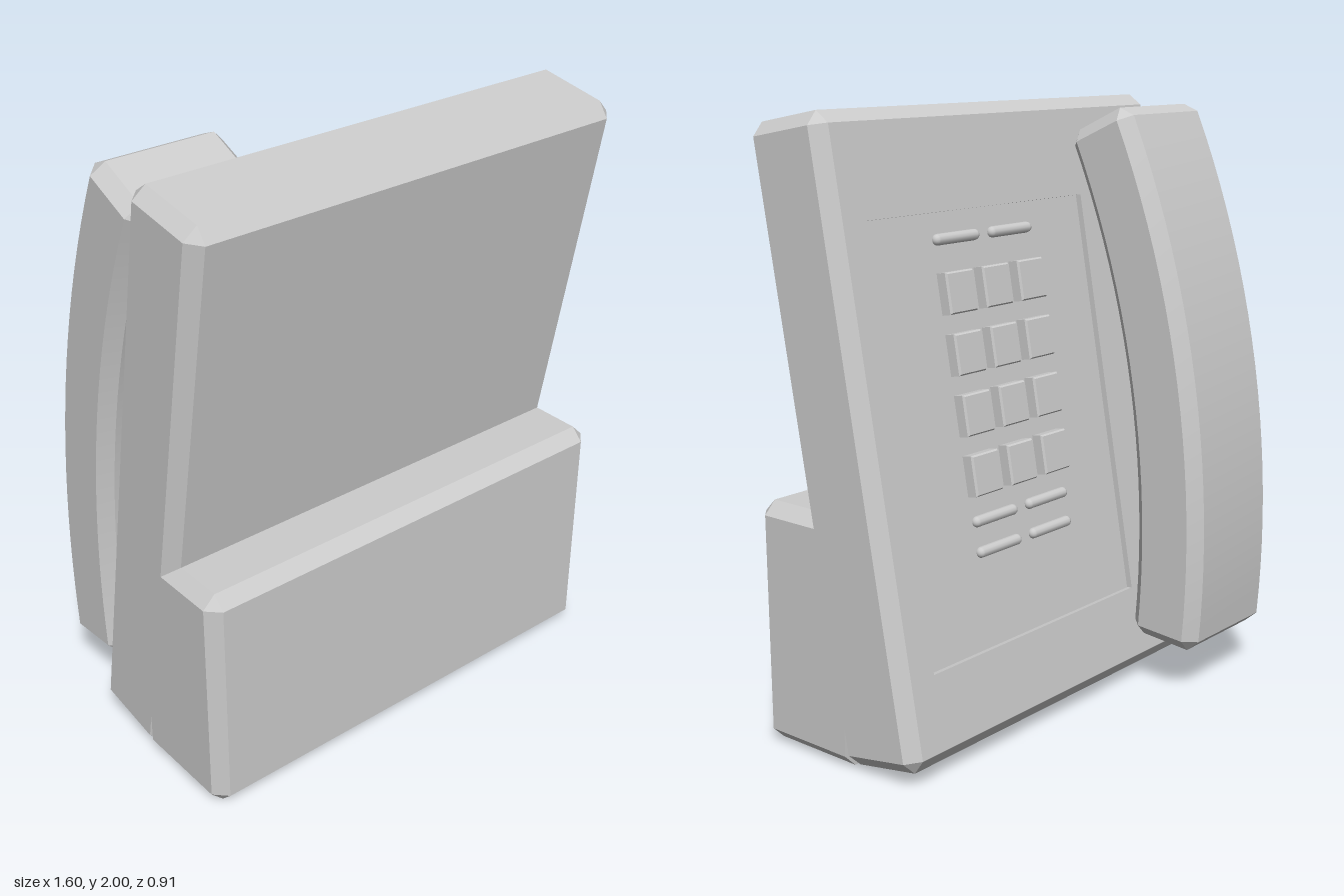
import * as THREE from 'three';
import { toCreasedNormals } from 'three/addons/utils/BufferGeometryUtils.js';

const material = new THREE.MeshStandardMaterial({ color: 0xcccccc });
const rad = THREE.MathUtils.degToRad;

// Rectangle with cut corners in the xy plane, at depth t: eight points, anticlockwise
function ring(t, x0, x1, y0, y1, c = 0) {
  return [
    [x1, y0 + c], [x1, y1 - c], [x1 - c, y1], [x0 + c, y1],
    [x0, y1 - c], [x0, y0 + c], [x0 + c, y0], [x1 - c, y0],
  ].map(([x, y]) => [x, y, t]);
}

// Same rectangle pulled in by c on every side
const inset = (t, x0, x1, y0, y1, c) => ring(t, x0 + c, x1 - c, y0 + c, y1 - c);

// Skin through successive rings, capped at both ends; place() maps ring space to model space
function loft(name, rings, place = (x, y, t) => [x, y, t]) {
  const pos = [];
  const tri = (...corners) => {
    const [a, b, c] = corners.map((p) => new THREE.Vector3(...place(...p)));
    const area = b.clone().sub(a).cross(c.clone().sub(a)).length();
    if (area > 1e-8) for (const v of [a, b, c]) pos.push(v.x, v.y, v.z);
  };
  for (let i = 0; i < rings.length - 1; i++) {
    for (let j = 0; j < 8; j++) {
      const k = (j + 1) % 8;
      const [a, b, c, d] = [rings[i][j], rings[i][k], rings[i + 1][k], rings[i + 1][j]];
      tri(a, b, c);
      tri(a, c, d);
    }
  }
  const first = rings[0], last = rings[rings.length - 1];
  for (let j = 1; j < 7; j++) {
    tri(first[0], first[j + 1], first[j]);
    tri(last[0], last[j], last[j + 1]);
  }
  const geometry = new THREE.BufferGeometry();
  geometry.setAttribute('position', new THREE.Float32BufferAttribute(pos, 3));
  const mesh = new THREE.Mesh(toCreasedNormals(geometry, rad(20)), material);
  mesh.name = name;
  return mesh;
}

export function createModel() {
  const model = new THREE.Group();
  model.name = 'deskPhone';
  const c = 0.042;

  // Front foot block, its open end buried in the leaning body
  const foot = [-0.8, 0.8, 0, 0.797];
  model.add(loft('footBlock', [
    ring(0.09, ...foot, c), ring(0.46 - c, ...foot, c), inset(0.46, ...foot, c),
  ]));

  // Leaning body: local z points out of the keypad side, local y runs up the slope
  const body = new THREE.Group();
  body.name = 'leaningBody';
  body.rotation.set(rad(10), Math.PI, 0);
  model.add(body);

  const slab = [-0.8, 0.8, 0.02, 2.0];
  const recess = [-0.66, 0.35, 0.3, 1.67];
  const face = 0.214, floor = 0.194;
  body.add(loft('bodySlab', [
    inset(-0.106, ...slab, c),
    ring(-0.106 + c, ...slab, c),
    ring(face - c, ...slab, c),
    inset(face, ...slab, c),
    ring(face, ...recess), // lip of the keypad recess
    ring(floor, ...recess),
  ]));

  // Keypad: four rows of three square keys
  const keypad = new THREE.Group();
  keypad.name = 'keypad';
  body.add(keypad);
  const centre = -0.15;
  for (let row = 0; row < 4; row++) {
    for (let col = -1; col <= 1; col++) {
      const x = centre + col * 0.17, y = 1.42 - row * 0.19;
      const key = [x - 0.062, x + 0.062, y - 0.065, y + 0.065];
      keypad.add(loft('squareKey', [
        ring(floor - 0.01, ...key), ring(0.228, ...key), inset(0.235, ...key, 0.005),
      ]));
    }
  }

  // Long rounded buttons above and below the keys
  const pill = new THREE.CapsuleGeometry(0.018, 0.17, 4, 12).rotateZ(Math.PI / 2);
  for (const y of [1.587, 0.703, 0.605]) {
    for (const side of [-1, 1]) {
      const button = new THREE.Mesh(pill, material);
      button.name = 'longButton';
      button.position.set(centre + side * 0.128, y, 0.198);
      keypad.add(button);
    }
  }

  // Handset: chamfered bar swept along an arc
  const grip = [-0.76, -0.305, 3.247, 3.512];
  const low = rad(-5.6), high = rad(25.15), step = rad(0.72), segments = 20;
  const rings = [inset(low, ...grip, c)];
  for (let i = 0; i <= segments; i++) {
    rings.push(ring(THREE.MathUtils.lerp(low + step, high - step, i / segments), ...grip, c));
  }
  rings.push(inset(high, ...grip, c));
  model.add(loft('handset', rings, (x, r, a) => [x, 0.5 + r * Math.sin(a), 3.057 - r * Math.cos(a)]));

  return model;
}
